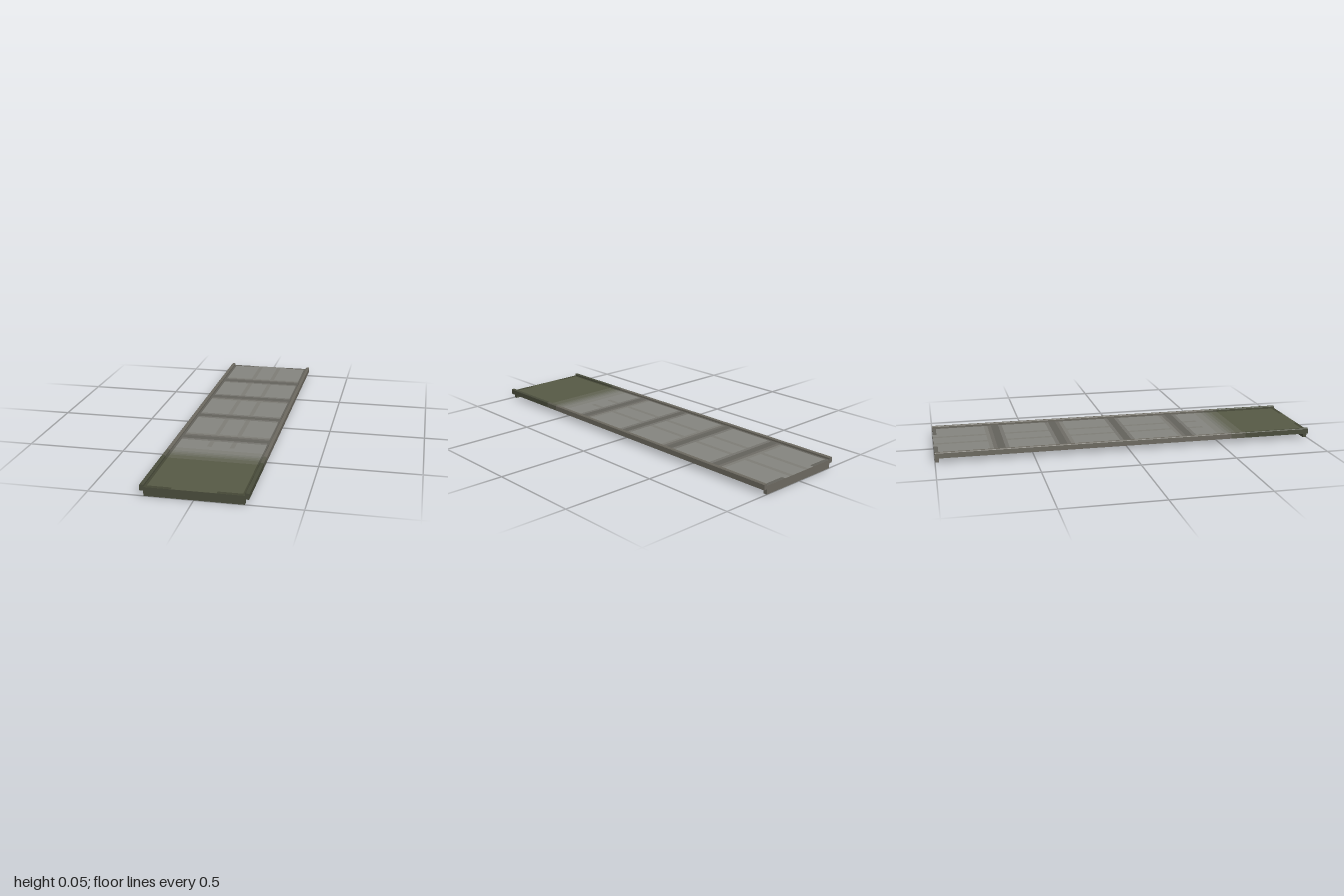
import * as THREE from 'three';
import { mergeGeometries } from 'three/addons/utils/BufferGeometryUtils.js';

const HALF_W = 0.234, TOP = 0.044, UNDER = 0.026, RAIL_TOP = 0.055, RAIL_OUT = 0.253;
const GREEN = 0x575a45, GREY = 0x85857f, DARK_GREEN = 0x4a4d3c, DARK_GREY = 0x6c6960;

const paint = (color, extra = {}) => new THREE.MeshStandardMaterial({ color, ...extra });
const smooth = THREE.MathUtils.smoothstep;

// Deck colour: grey panel with soft cross bands, fading into a green front end
function deckColor(x, z) {
  const ax = Math.abs(x), az = Math.abs(z);
  let shade = 0;
  for (const band of [-0.667, -0.333, 0, 0.333]) {
    shade = Math.max(shade, 0.8 * (1 - smooth(Math.abs(z - band), 0.005, 0.06)));
  }
  if (z < 0.45) shade = Math.max(shade, 0.2 * (1 - smooth(Math.abs(ax - 0.06), 0.005, 0.025)));
  if (ax > 0.222) shade = Math.max(shade, 0.8);
  if (ax > 0.1 && az > 0.975) shade = Math.max(shade, 0.8);
  const green = Math.round(smooth(z, 0.46, 0.68) * 6) / 6;
  shade = Math.round(shade * 5) / 5;
  const clean = new THREE.Color(GREY).lerp(new THREE.Color(GREEN), green);
  const dirty = new THREE.Color(0x5a5750).lerp(new THREE.Color(0x3f4232), green);
  return clean.lerp(dirty, shade).getHex();
}

// Top surface split into small patches, merged by colour
function makeDeck() {
  const deck = new THREE.Group();
  deck.name = 'deckTop';
  const cols = 40, rows = 100, w = (2 * HALF_W) / cols, d = 2 / rows;
  const buckets = new Map();
  for (let r = 0; r < rows; r++) {
    for (let c = 0; c < cols; c++) {
      const x = -HALF_W + (c + 0.5) * w, z = -1 + (r + 0.5) * d;
      const color = deckColor(x, z);
      const patch = new THREE.PlaneGeometry(w, d).rotateX(-Math.PI / 2).translate(x, TOP, z);
      if (!buckets.has(color)) buckets.set(color, []);
      buckets.get(color).push(patch);
    }
  }
  for (const [color, patches] of buckets) {
    const mesh = new THREE.Mesh(mergeGeometries(patches), paint(color));
    mesh.name = 'deckPanel';
    deck.add(mesh);
  }
  return deck;
}

// Side rail profile with small bevels on its top edges
function railShape(side) {
  const b = 0.003, inn = HALF_W + 0.001;
  const pts = [
    [inn, UNDER], [RAIL_OUT, UNDER], [RAIL_OUT, RAIL_TOP - b],
    [RAIL_OUT - b, RAIL_TOP], [inn + b - 0.001, RAIL_TOP], [inn - 0.001, RAIL_TOP - b], [inn - 0.001, UNDER],
  ];
  return new THREE.Shape(pts.map(([x, y]) => new THREE.Vector2(side * x, y)));
}

export function createModel() {
  const group = new THREE.Group();
  group.add(makeDeck());

  // Dark underside of the deck
  const underside = new THREE.Mesh(
    new THREE.PlaneGeometry(2 * HALF_W, 1.98).rotateX(Math.PI / 2).translate(0, UNDER, 0),
    paint(0x25251f));
  underside.name = 'underside';
  group.add(underside);

  // Rails in lengths that follow the deck's change of colour
  const railRuns = [[-1, 0.56, DARK_GREY], [0.56, 0.64, 0x5b5b4e], [0.64, 1, DARK_GREEN]];
  for (const side of [-1, 1]) {
    const rail = new THREE.Group();
    rail.name = side > 0 ? 'leftRail' : 'rightRail';
    for (const [z0, z1, color] of railRuns) {
      const geo = new THREE.ExtrudeGeometry(railShape(side), { depth: z1 - z0, bevelEnabled: false });
      const mesh = new THREE.Mesh(geo.translate(0, 0, z0), paint(color));
      mesh.name = 'railLength';
      rail.add(mesh);
    }
    group.add(rail);
  }

  // End plates reaching down to the ground
  for (const end of [-1, 1]) {
    const h = TOP - 0.0005;
    const plate = new THREE.Mesh(
      new THREE.BoxGeometry(2 * HALF_W, h, 0.02).translate(0, h / 2, end * 0.99),
      paint(end > 0 ? DARK_GREEN : DARK_GREY));
    plate.name = end > 0 ? 'frontEndPlate' : 'backEndPlate';
    group.add(plate);
  }
  return group;
}
